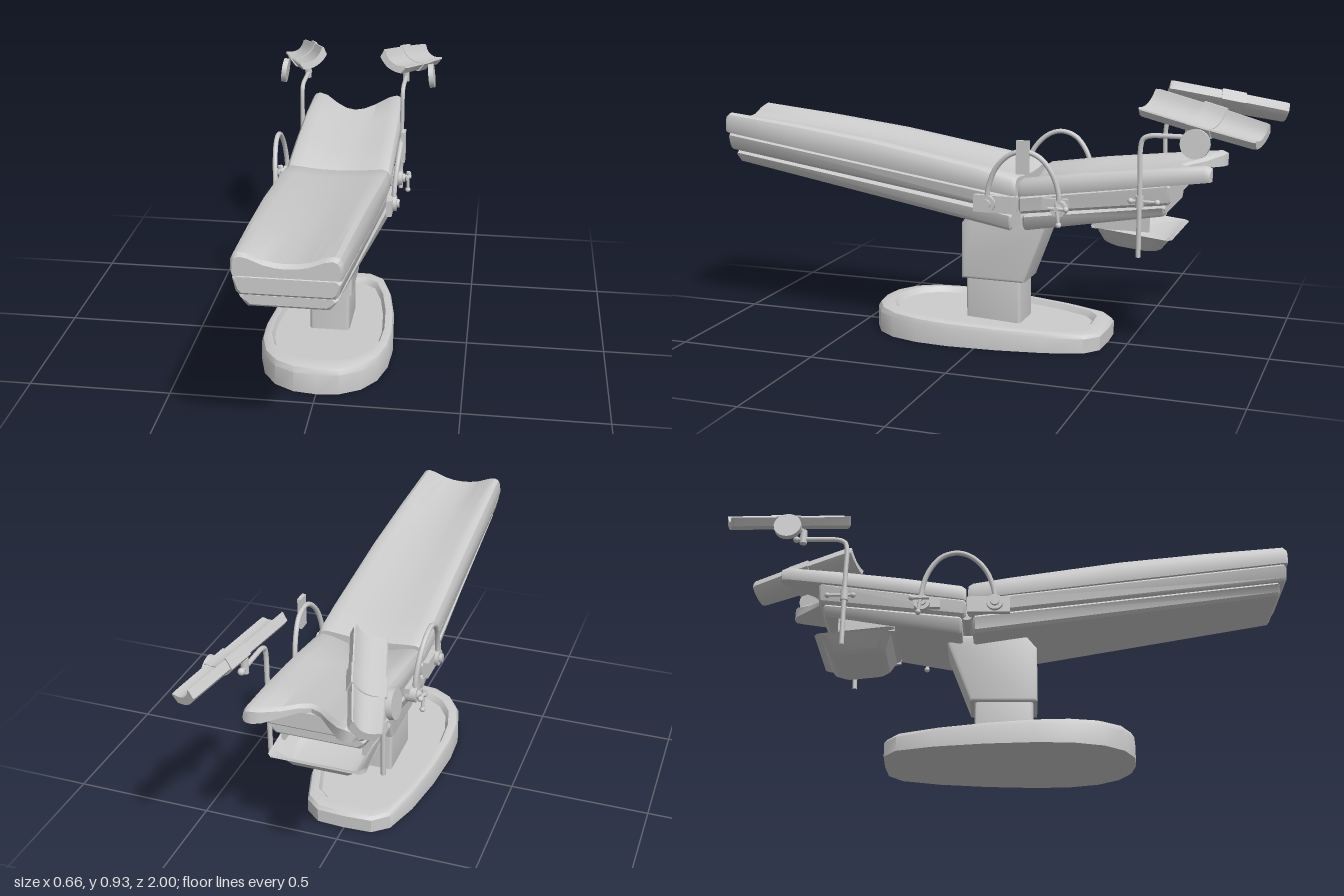
import * as THREE from 'three';
import { toCreasedNormals } from 'three/addons/utils/BufferGeometryUtils.js';

const V = (x, y, z) => new THREE.Vector3(x, y, z);
const lerp = THREE.MathUtils.lerp;
const grey = new THREE.MeshStandardMaterial({ color: 0xcccccc });
const greyThin = new THREE.MeshStandardMaterial({ color: 0xcccccc, side: THREE.DoubleSide });

function add(parent, name, geometry, material = grey) {
  const mesh = new THREE.Mesh(geometry, material);
  mesh.name = name;
  parent.add(mesh);
  return mesh;
}

// Skin a list of closed rings; caps pair point i with point n-1-i
function loft(rings, capStart = true, crease = 0.6) {
  const n = rings[0].length, tris = [];
  const quad = (a, b, c, d) => tris.push([a, b, c], [a, c, d]);
  for (let r = 0; r + 1 < rings.length; r++)
    for (let i = 0; i < n; i++) {
      const j = (i + 1) % n;
      quad(rings[r][i], rings[r][j], rings[r + 1][j], rings[r + 1][i]);
    }
  const first = rings[0], last = rings[rings.length - 1];
  for (let i = 0; i < n / 2 - 1; i++) {
    const j = n - 1 - i;
    quad(last[i], last[i + 1], last[j - 1], last[j]);
    if (capStart) quad(first[j], first[j - 1], first[i + 1], first[i]);
  }
  // Turn the faces outward
  const volume = tris.reduce((s, [a, b, c]) => s + a.dot(V(0, 0, 0).crossVectors(b, c)), 0);
  const points = tris.flatMap(([a, b, c]) => (volume < 0 ? [a, c, b] : [a, b, c]));
  return toCreasedNormals(new THREE.BufferGeometry().setFromPoints(points), crease);
}

// Dished upholstery cross-section; zAt gives the depth at each x
const half = [[0, -0.032], [0.2, -0.03], [0.42, -0.023], [0.7, -0.005], [0.85, 0], [0.94, -0.007], [0.99, -0.025], [1, -0.058]];
const profile = [...half.slice(1).reverse().map(([x, y]) => [-x, y]), ...half];
function cushionRing(zAt, w, yt, yb, dish) {
  const k = (yt - yb) / 0.075;
  const top = profile.map(([x, y]) => V(x * w, yt + y * (Math.abs(x) < 0.85 ? dish : k), zAt(x * w)));
  const bottom = profile.map(([x]) => V(x * w * 0.98, yb, zAt(x * w))).reverse();
  return [...top, ...bottom];
}

// Long chamfered slab between two stations [z, topHalfWidth, bottomHalfWidth, yTop, yBottom]
function slab(a, b) {
  const ring = ([z, wt, wb, yt, yb], s, c = 0.01) => [
    [-wt + s, yt - c - s], [-wt + c + s, yt - s], [wt - c - s, yt - s], [wt - s, yt - c - s],
    [wb - s, yb + c + s], [wb - c - s, yb + s], [-wb + c + s, yb + s], [-wb + s, yb + c + s],
  ].map(([x, y]) => V(x, y, z));
  const mix = t => a.map((v, i) => lerp(v, b[i], t));
  const e = 0.008 / Math.abs(b[0] - a[0]);
  return loft([ring(a, 0.007), ring(mix(e), 0), ring(mix(1 - e), 0), ring(b, 0.007)]);
}

function tube(points, r, seg = 40) {
  return new THREE.TubeGeometry(new THREE.CatmullRomCurve3(points.map(p => V(...p))), seg, r, 10);
}

// Straight rod between two points
function rod(parent, name, a, b, r) {
  const p = V(...a), q = V(...b);
  const m = add(parent, name, new THREE.CylinderGeometry(r, r, p.distanceTo(q), 14));
  m.position.copy(p).add(q).multiplyScalar(0.5);
  m.quaternion.setFromUnitVectors(V(0, 1, 0), q.sub(p).normalize());
  return m;
}

function ball(parent, name, p, r) {
  add(parent, name, new THREE.SphereGeometry(r, 14, 10)).position.set(...p);
}

function block(parent, name, size, p) {
  add(parent, name, new THREE.BoxGeometry(...size)).position.set(...p);
}

function createPedestal() {
  const g = new THREE.Group();
  g.name = 'pedestal';
  // Egg-shaped foot with a raised rim, lower at the back
  const right = [[0, 0.44], [0.08, 0.43], [0.15, 0.39], [0.2, 0.32], [0.228, 0.22], [0.235, 0.1],
    [0.222, -0.08], [0.195, -0.25], [0.155, -0.38], [0.1, -0.425], [0, -0.43]];
  const outline = [...right, ...right.slice(1, -1).reverse().map(([x, z]) => [-x, z])];
  const ring = (s, k, drop = 0) => outline.map(([x, z]) => V(x * s, (0.083 + 0.039 * z) * k - drop, z * s));
  add(g, 'base', loft([ring(1, 0), ring(1, 0.75), ring(0.975, 0.93), ring(0.93, 1), ring(0.86, 1), ring(0.82, 1, 0.02)]));

  // Telescoping column: straight lower part, flared upper part
  const column = (name, pts, w) => {
    const b = 0.012;
    const geo = new THREE.ExtrudeGeometry(new THREE.Shape(pts.map(p => new THREE.Vector2(...p))),
      { depth: 2 * (w - b), bevelSize: b, bevelThickness: b, bevelOffset: -b, bevelSegments: 3 });
    geo.rotateY(-Math.PI / 2).translate(w - b, 0, 0);
    add(g, name, toCreasedNormals(geo, 0.6));
  };
  column('lowerColumn', [[0.085, 0.05], [0.085, 0.24], [-0.12, 0.24], [-0.12, 0.05]], 0.072);
  column('upperColumn', [[0.1, 0.21], [0.1, 0.415], [0.06, 0.465], [-0.225, 0.465], [-0.215, 0.42], [-0.135, 0.21]], 0.083);
  return g;
}

function createBed() {
  const g = new THREE.Group();
  g.name = 'bed';
  // Long front section
  const stations = [[1, 0.158, 0.77, 1], [0.985, 0.165, 0.78, 1], [0.7, 0.176, 0.75, 0.8], [0.4, 0.187, 0.712, 0.6],
    [0, 0.198, 0.645, 0.4], [-0.125, 0.198, 0.622, 0.35], [-0.142, 0.194, 0.612, 0.3]];
  add(g, 'frontCushion', loft(stations.map(([z, w, y, d]) => cushionRing(() => z, w, y, 0.708 - 0.14 * (0.99 - z), d))));
  add(g, 'frontShell', slab([0.992, 0.16, 0.15, 0.709, 0.645], [-0.142, 0.198, 0.192, 0.552, 0.49]));
  add(g, 'frontFrame', slab([0.968, 0.146, 0.13, 0.642, 0.598], [-0.125, 0.194, 0.188, 0.49, 0.425]));

  // Rear section with the notched end
  const zEnd = x => -0.75 + 0.06 * Math.cos(Math.PI * x / 0.16);
  const rings = [[0, 0.19, 0.603], [0.025, 0.196, 0.613], [0.35, 0.196, 0.645], [0.7, 0.194, 0.672], [0.97, 0.186, 0.692], [1, 0.182, 0.684]]
    .map(([t, w, y]) => cushionRing(x => lerp(-0.15, zEnd(x), t), w, y, 0.55 + 0.09 * t, 0.9));
  add(g, 'rearCushion', loft(rings));
  add(g, 'rearShell', slab([-0.15, 0.192, 0.188, 0.553, 0.488], [-0.672, 0.18, 0.17, 0.628, 0.552]));
  add(g, 'rearFrame', slab([-0.163, 0.188, 0.18, 0.488, 0.428], [-0.655, 0.165, 0.155, 0.552, 0.51]));
  rod(g, 'hinge', [-0.17, 0.5, -0.147], [0.17, 0.5, -0.147], 0.02);

  // Drain basin hung below the rear section
  const tray = (w, z0, z1, y0, y1, c) => [[-w, z0 - c], [-w + c, z0], [w - c, z0], [w, z0 - c], [w, z1 + c], [w - c, z1], [-w + c, z1], [-w, z1 + c]]
    .map(([x, z]) => V(x, lerp(y0, y1, (z - z0) / (z1 - z0)), z));
  add(g, 'basin', loft([tray(0.168, -0.4, -0.68, 0.46, 0.43, 0.015), tray(0.158, -0.415, -0.655, 0.452, 0.422, 0.025),
    tray(0.125, -0.435, -0.632, 0.398, 0.382, 0.03), tray(0.11, -0.455, -0.615, 0.388, 0.372, 0.03)], false), greyThin);
  for (const s of [-1, 1]) block(g, 'basinRunner', [0.012, 0.07, 0.2], [s * 0.14, 0.485, -0.5]);
  return g;
}

// Padded leg trough with its strap and side tongue
function createLegRest() {
  const g = new THREE.Group();
  g.name = 'legRest';
  const ring = (z, w, grow = 0) => {
    const xs = [-1, -0.92, -0.6, -0.3, 0, 0.3, 0.6, 0.92, 1];
    const dip = x => 0.024 * (1 - x * x);
    const top = xs.map(x => V(x * (w + grow), -dip(x) + grow - (Math.abs(x) === 1 ? 0.006 : 0), z));
    const bottom = xs.map(x => V(x * (w + grow) * 0.94, -0.036 - dip(x) * 0.6 - grow, z)).reverse();
    return [...top, ...bottom];
  };
  const pad = new THREE.Group();
  add(pad, 'pad', loft([ring(0.212, 0.056), ring(0.2, 0.06), ring(0, 0.058), ring(-0.2, 0.051), ring(-0.212, 0.047)]));
  add(pad, 'strap', loft([ring(0.03, 0.059, 0.004), ring(-0.055, 0.057, 0.004)]));
  const across = V(0.095, -0.06, 0.042).normalize();
  const along = V(0.165, -0.1, -0.375);
  const up = V(0, 0, 0).crossVectors(across, along).normalize();
  pad.quaternion.setFromRotationMatrix(new THREE.Matrix4().makeBasis(across, up, V(0, 0, 0).crossVectors(across, up)));
  pad.position.set(0.23, 0.872, -0.786);
  pad.name = 'trough';
  g.add(pad);
  const tongue = add(g, 'tongue', new THREE.CylinderGeometry(0.048, 0.048, 0.02, 24));
  tongue.rotation.z = Math.PI / 2 + 0.12;
  tongue.position.set(0.298, 0.786, -0.775);

  // Cranked post, clamps and knobs
  const x = 0.198;
  add(g, 'post', tube([[x, 0.375, -0.577], [x, 0.5, -0.577], [x, 0.65, -0.577], [x, 0.75, -0.577], [x, 0.777, -0.585],
    [x, 0.788, -0.61], [x, 0.79, -0.65], [x, 0.79, -0.755]], 0.0085, 60));
  rod(g, 'postClamp', [x, 0.545, -0.577], [x, 0.585, -0.577], 0.014);
  rod(g, 'clampLever', [x, 0.566, -0.55], [x, 0.566, -0.635], 0.005);
  ball(g, 'leverKnob', [x, 0.566, -0.547], 0.01);
  ball(g, 'leverKnob', [x, 0.566, -0.637], 0.01);
  rod(g, 'swivel', [x, 0.773, -0.735], [x, 0.825, -0.735], 0.013);
  rod(g, 'swivelStem', [x, 0.815, -0.735], [0.218, 0.85, -0.765], 0.01);
  ball(g, 'swivelKnob', [x, 0.79, -0.76], 0.012);
  return g;
}

// Arched hand grip with brackets and locking knobs
function createArmGrip() {
  const g = new THREE.Group();
  g.name = 'armGrip';
  add(g, 'arch', tube([[0.216, 0.525, -0.045], [0.217, 0.58, -0.052], [0.222, 0.65, -0.08], [0.227, 0.7, -0.13], [0.228, 0.716, -0.18],
    [0.227, 0.7, -0.235], [0.222, 0.65, -0.278], [0.217, 0.58, -0.302], [0.216, 0.525, -0.303]], 0.009));
  for (const z of [-0.048, -0.303]) {
    rod(g, 'pivotDisc', [0.19, 0.525, z], [0.226, 0.525, z], 0.029);
    rod(g, 'pivotHub', [0.226, 0.525, z], [0.236, 0.525, z], 0.016);
  }
  block(g, 'sideBracket', [0.02, 0.06, 0.15], [0.203, 0.522, -0.07]);
  block(g, 'sideBracket', [0.018, 0.04, 0.09], [0.195, 0.535, -0.285]);
  rod(g, 'lockStem', [0.22, 0.53, -0.305], [0.258, 0.53, -0.305], 0.008);
  rod(g, 'lockLever', [0.246, 0.55, -0.303], [0.246, 0.475, -0.312], 0.006);
  ball(g, 'lockKnob', [0.246, 0.475, -0.312], 0.01);
  rod(g, 'crossLever', [0.246, 0.53, -0.275], [0.246, 0.53, -0.335], 0.006);
  ball(g, 'crossKnob', [0.246, 0.53, -0.337], 0.01);
  return g;
}

export function createModel() {
  const model = new THREE.Group();
  model.name = 'examinationChair';
  model.add(createPedestal(), createBed());
  for (const side of [1, -1])
    for (const part of [createLegRest(), createArmGrip()]) {
      part.scale.x = side;
      model.add(part);
    }
  // Hand control hooked on one arch
  block(model, 'handControl', [0.014, 0.115, 0.045], [0.236, 0.697, -0.182]);
  return model;
}
